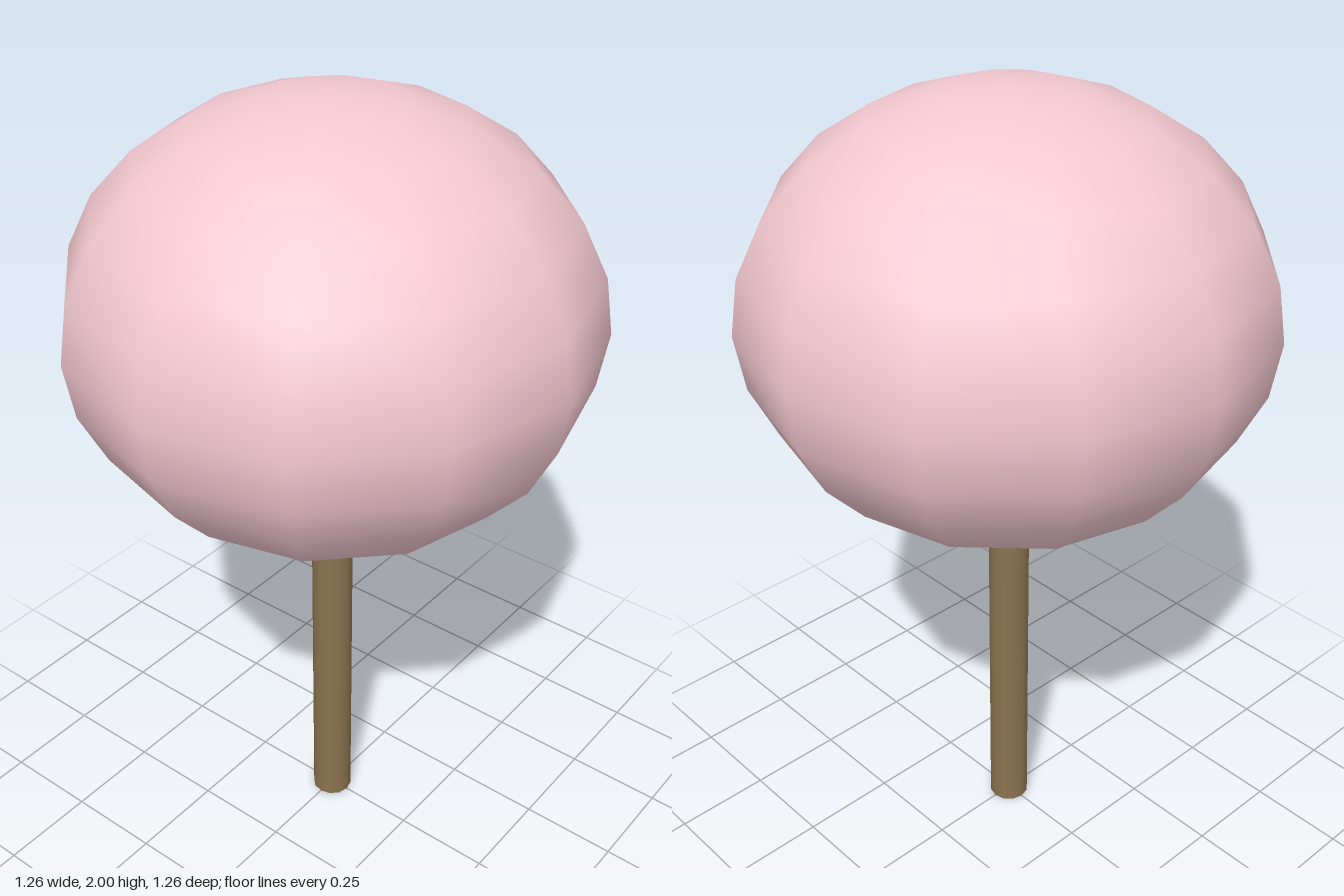
import * as THREE from 'three';

export function createModel() {
  const model = new THREE.Group();

  const add = (name, geometry, color, y) => {
    const mesh = new THREE.Mesh(geometry, new THREE.MeshStandardMaterial({ color }));
    mesh.name = name;
    mesh.position.y = y;
    model.add(mesh);
    return mesh;
  };

  // Round stick, its top end hidden inside the crown
  const stickHeight = 1.05;
  add('stick', new THREE.CylinderGeometry(0.052, 0.052, stickHeight, 12), 0x8b7350, stickHeight / 2);

  // Slightly flattened crown, coarse outline with smooth shading
  const crown = add('crown', new THREE.SphereGeometry(0.63, 12, 12), 0xf4c9d1, 1.477);
  crown.scale.y = 0.523 / 0.63;

  return model;
}
